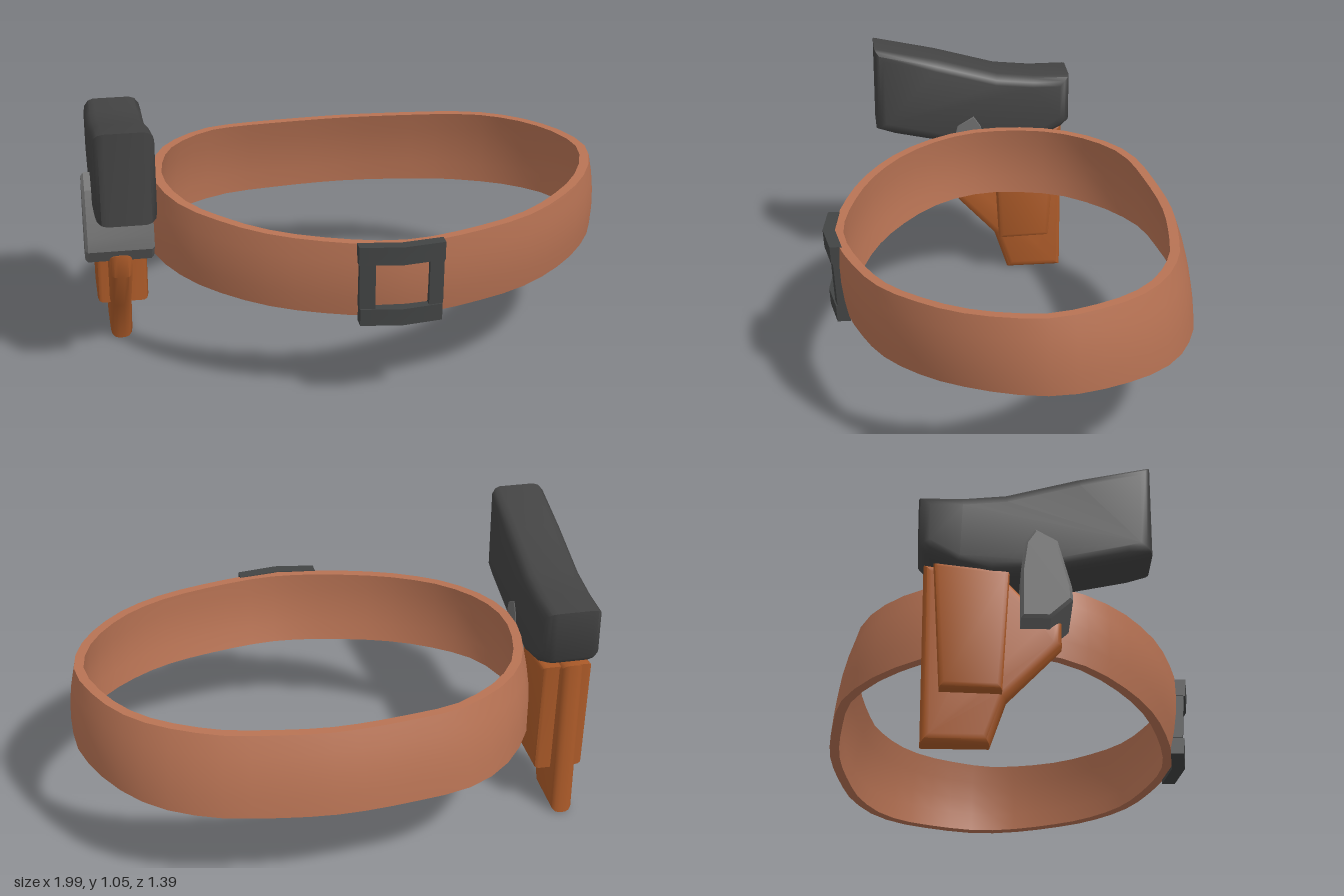
import * as THREE from 'three';
import { toCreasedNormals } from 'three/addons/utils/BufferGeometryUtils.js';

const paint = (name, color) => {
  const m = new THREE.MeshStandardMaterial({ color });
  m.name = name;
  return m;
};

// Piecewise-linear lookup through [key, value] pairs with rising keys
function lerpTable(table, k) {
  if (k <= table[0][0]) return table[0][1];
  for (let i = 1; i < table.length; i++) {
    const [a, va] = table[i - 1], [b, vb] = table[i];
    if (k <= b) return va + ((vb - va) * (k - a)) / (b - a);
  }
  return table[table.length - 1][1];
}

// Side profile given as [z, y], extruded across x from x0 to x1 with rounded rims
function sidePart(name, material, profile, x0, x1, bevel, segments, crease) {
  const shape = new THREE.Shape(profile.map(([z, y]) => new THREE.Vector2(-z, y)));
  const geo = new THREE.ExtrudeGeometry(shape, {
    depth: x1 - x0 - 2 * bevel, bevelEnabled: true, bevelSize: bevel,
    bevelThickness: bevel, bevelOffset: -bevel, bevelSegments: segments,
  });
  geo.rotateY(Math.PI / 2).translate(x0 + bevel, 0, 0);
  const mesh = new THREE.Mesh(toCreasedNormals(geo, crease), material);
  mesh.name = name;
  return mesh;
}

// Belt: a leaning, slightly bulging strap swept round an oval
function beltGeometry() {
  const plan = [
    [0.1, -0.66], [-0.2, -0.635], [-0.4, -0.595], [-0.56, -0.495], [-0.68, -0.34], [-0.73, -0.18],
    [-0.742, 0], [-0.7, 0.17], [-0.61, 0.32], [-0.42, 0.485], [-0.2, 0.585], [0.1, 0.645],
    [0.4, 0.585], [0.62, 0.49], [0.82, 0.315], [0.935, 0.13], [0.978, -0.05], [0.94, -0.22],
    [0.85, -0.385], [0.72, -0.51], [0.53, -0.6], [0.37, -0.633],
  ];
  const curve = new THREE.CatmullRomCurve3(plan.map(([x, z]) => new THREE.Vector3(x, 0, z)), true);
  const topY = [[-0.66, 0.685], [-0.55, 0.7], [-0.2, 0.708], [0.1, 0.703], [0.4, 0.682], [0.65, 0.65]];
  const bottomY = [[-0.66, 0.38], [-0.55, 0.385], [-0.3, 0.41], [0, 0.42], [0.2, 0.413], [0.45, 0.385], [0.65, 0.36]];
  const lean = [[-0.66, 0.034], [-0.4, 0.02], [0, 0.01], [0.4, -0.006], [0.65, -0.014]];
  const thick = 0.036, n = 48, rows = 4;
  const pos = [], index = [];
  for (let i = 0; i < n; i++) {
    const p = curve.getPointAt(i / n), t = curve.getTangentAt(i / n);
    const nx = -t.z, nz = t.x; // outward
    const yT = lerpTable(topY, p.z), yB = lerpTable(bottomY, p.z), tilt = lerpTable(lean, p.z);
    const put = (v, inset) => {
      const off = tilt * (1 - 2 * v) + 0.012 * (4 * v * (1 - v)) - 0.003 - inset;
      pos.push(p.x + nx * off, yB + (yT - yB) * v, p.z + nz * off);
    };
    for (let r = 0; r <= rows; r++) put(r / rows, 0);
    for (let r = rows; r >= 0; r--) put(r / rows, thick);
  }
  const m = 2 * (rows + 1);
  for (let i = 0; i < n; i++) {
    for (let j = 0; j < m; j++) {
      const a = i * m + j, b = i * m + ((j + 1) % m);
      const c = ((i + 1) % n) * m + j, d = ((i + 1) % n) * m + ((j + 1) % m);
      index.push(a, c, b, b, c, d);
    }
  }
  const geo = new THREE.BufferGeometry();
  geo.setAttribute('position', new THREE.Float32BufferAttribute(pos, 3));
  geo.setIndex(index);
  return toCreasedNormals(geo, 0.7);
}

// Buckle bar: a box folded about the buckle's centre line and leaning with the strap
function buckleBar(x0, x1, y0, y1, front, depth) {
  const geo = new THREE.BoxGeometry(x1 - x0, y1 - y0, depth, 2, 1, 1);
  geo.translate((x0 + x1) / 2, (y0 + y1) / 2, front - depth / 2);
  const p = geo.attributes.position;
  for (let i = 0; i < p.count; i++) {
    const fold = -0.15 * Math.abs(p.getX(i) - 0.087);
    p.setZ(i, p.getZ(i) + fold + 0.06 * (p.getY(i) - 0.5));
  }
  return toCreasedNormals(geo, 0.4);
}

export function createModel() {
  const group = new THREE.Group();
  const leather = paint('beltLeather', 0xb87354);
  const tan = paint('holsterLeather', 0xad5b29);
  const dark = paint('darkMetal', 0x434343);
  const steel = paint('buckleMetal', 0x424444);
  const grey = paint('greyMetal', 0x6e6e6e);

  const belt = new THREE.Mesh(beltGeometry(), leather);
  belt.name = 'belt';
  group.add(belt);

  // Square open buckle
  const buckle = new THREE.Group();
  buckle.name = 'buckle';
  const bars = [
    ['buckleTop', -0.07, 0.24, 0.585, 0.655, 0.688, 0.045],
    ['buckleBottom', -0.063, 0.235, 0.345, 0.41, 0.688, 0.05],
    ['buckleRightSide', -0.066, -0.01, 0.41, 0.585, 0.682, 0.045],
    ['buckleLeftSide', 0.185, 0.238, 0.41, 0.585, 0.682, 0.045],
  ];
  for (const [name, ...dims] of bars) {
    const bar = new THREE.Mesh(buckleBar(...dims), steel);
    bar.name = name;
    buckle.add(bar);
  }
  group.add(buckle);

  // Handle block sitting above the holster
  group.add(sidePart('handle', dark, [
    [0.455, 1.05], [0.2, 0.995], [-0.05, 0.925], [-0.2, 0.91], [-0.35, 0.91], [-0.35, 0.715],
    [-0.32, 0.685], [-0.22, 0.635], [-0.1, 0.605], [0.08, 0.615], [0.38, 0.68], [0.455, 0.705],
  ], -0.965, -0.747, 0.04, 3, 1.1));

  // Guard wrapped around the underside of the handle
  group.add(sidePart('guard', grey, [
    [0.05, 0.762], [0.015, 0.71], [0, 0.6], [0, 0.42], [0.1, 0.42],
    [0.175, 0.49], [0.172, 0.54], [0.125, 0.718],
  ], -1.0, -0.744, 0.01, 1, 0.6));

  // Holster: thin blade-shaped body with a thicker pouch round it
  group.add(sidePart('holsterBody', tan, [
    [-0.33, 0], [-0.33, 0.67], [-0.05, 0.62], [0.09, 0.46], [0.142, 0.455], [0.142, 0.365],
    [-0.045, 0.165], [-0.1, 0],
  ], -0.912, -0.828, 0.03, 3, 0.8));
  group.add(sidePart('holsterPouch', tan, [
    [-0.27, 0.18], [-0.295, 0.65], [-0.035, 0.62], [-0.06, 0.175],
  ], -0.957, -0.762, 0.018, 2, 0.8));

  return group;
}
